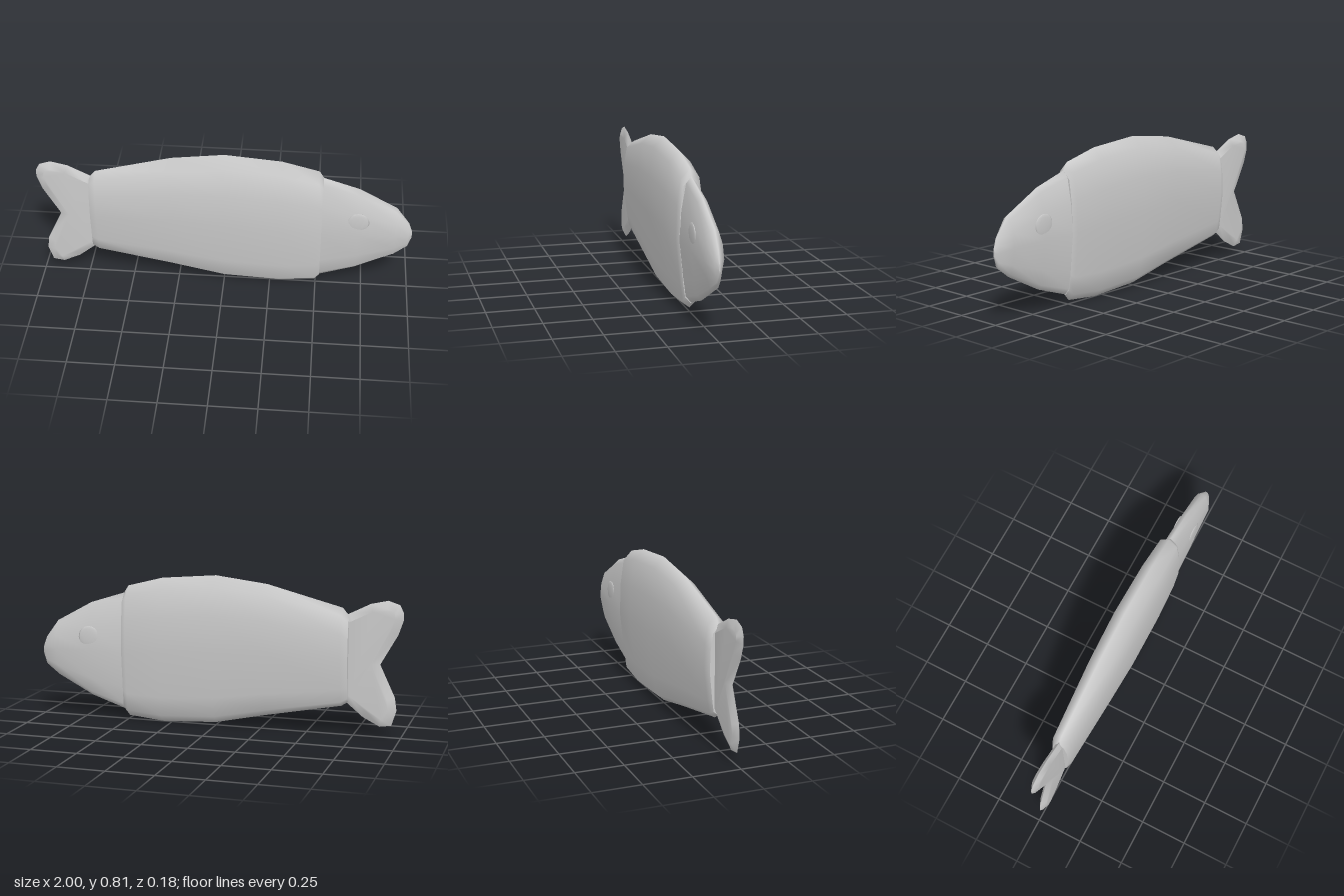
import * as THREE from 'three';
import { mergeVertices } from 'three/addons/utils/BufferGeometryUtils.js';

const material = new THREE.MeshStandardMaterial({ color: 0xcccccc, side: THREE.DoubleSide });

// Half cross-section from belly to back: [height fraction, width fraction]
const bodySection = [[0, 0], [0.05, 0.5], [0.18, 0.68], [0.5, 1], [0.74, 0.93], [0.93, 0.66], [1, 0]];
const headSection = [[0, 0], [0.05, 0.44], [0.2, 0.66], [0.5, 1], [0.74, 0.84], [0.95, 0.44], [1, 0]];

// Skins cross-sections along x; each station is [x, bottom, top, half width]
function loft(section, stations) {
  const mirrored = section.slice(1, -1).reverse().map(([v, w]) => [v, -w]);
  const ring = [...section, ...mirrored];
  const n = ring.length;
  const positions = [];
  const index = [];
  const addRing = ([x, bottom, top, half]) => {
    const start = positions.length / 3;
    for (const [v, w] of ring) positions.push(x, bottom + v * (top - bottom), w * half);
    return start;
  };
  stations.forEach((station, i) => {
    const b = addRing(station);
    if (i === 0) return;
    const a = b - n;
    for (let j = 0; j < n; j++) {
      const k = (j + 1) % n;
      index.push(a + j, b + j, a + k, b + j, b + k, a + k);
    }
  });
  // End caps have their own vertices to keep the rims sharp
  const first = addRing(stations[0]);
  const last = addRing(stations[stations.length - 1]);
  for (let j = 1; j < n - 1; j++) {
    index.push(first, first + j, first + j + 1, last, last + j + 1, last + j);
  }
  const geometry = new THREE.BufferGeometry();
  geometry.setAttribute('position', new THREE.Float32BufferAttribute(positions, 3));
  geometry.setIndex(index);
  geometry.computeVertexNormals();
  return geometry;
}

function tailGeometry() {
  const outline = [
    [-0.66, 0.62], [-0.72, 0.65], [-0.83, 0.705], [-0.92, 0.725], [-0.98, 0.705], [-1, 0.665],
    [-1, 0.625], [-0.975, 0.55], [-0.885, 0.39], [-0.965, 0.22], [-0.975, 0.15],
    [-0.95, 0.07], [-0.89, 0.06], [-0.8, 0.105], [-0.71, 0.18], [-0.66, 0.21],
  ].map(([x, y]) => new THREE.Vector2(x, y));
  // A bevel that runs inward gives the fin its thin edge
  const fin = new THREE.ExtrudeGeometry(new THREE.Shape(outline), {
    depth: 0.002, bevelThickness: 0.018, bevelSize: 0.04, bevelOffset: -0.04, bevelSegments: 1,
  });
  fin.translate(0, 0, -0.001);
  fin.deleteAttribute('normal');
  fin.deleteAttribute('uv');
  const smooth = mergeVertices(fin, 1e-4);
  smooth.computeVertexNormals();
  return smooth;
}

export function createModel() {
  const group = new THREE.Group();
  const add = (name, geometry) => {
    const mesh = new THREE.Mesh(geometry, material);
    mesh.name = name;
    group.add(mesh);
    return mesh;
  };

  add('body', loft(bodySection, [
    [-0.72, 0.18, 0.635, 0.045],
    [-0.685, 0.158, 0.678, 0.062],
    [-0.28, 0.08, 0.785, 0.083],
    [0, 0.02, 0.82, 0.09],
    [0.3, 0.005, 0.795, 0.085],
    [0.495, 0.025, 0.745, 0.073],
    [0.52, 0.055, 0.705, 0.06],
  ]));

  add('head', loft(headSection, [
    [0.49, 0.05, 0.715, 0.061],
    [0.71, 0.125, 0.645, 0.058],
    [0.91, 0.23, 0.535, 0.05],
    [0.98, 0.285, 0.44, 0.02],
    [1, 0.345, 0.385, 0.004],
  ]));

  add('tailFin', tailGeometry());

  // Shallow eyes, one on each cheek
  for (const side of [1, -1]) {
    const eye = add(side > 0 ? 'frontEye' : 'backEye', new THREE.SphereGeometry(1, 12, 8));
    eye.scale.set(0.06, 0.06, 0.007);
    eye.position.set(0.71, 0.46, side * 0.05);
  }
  return group;
}
